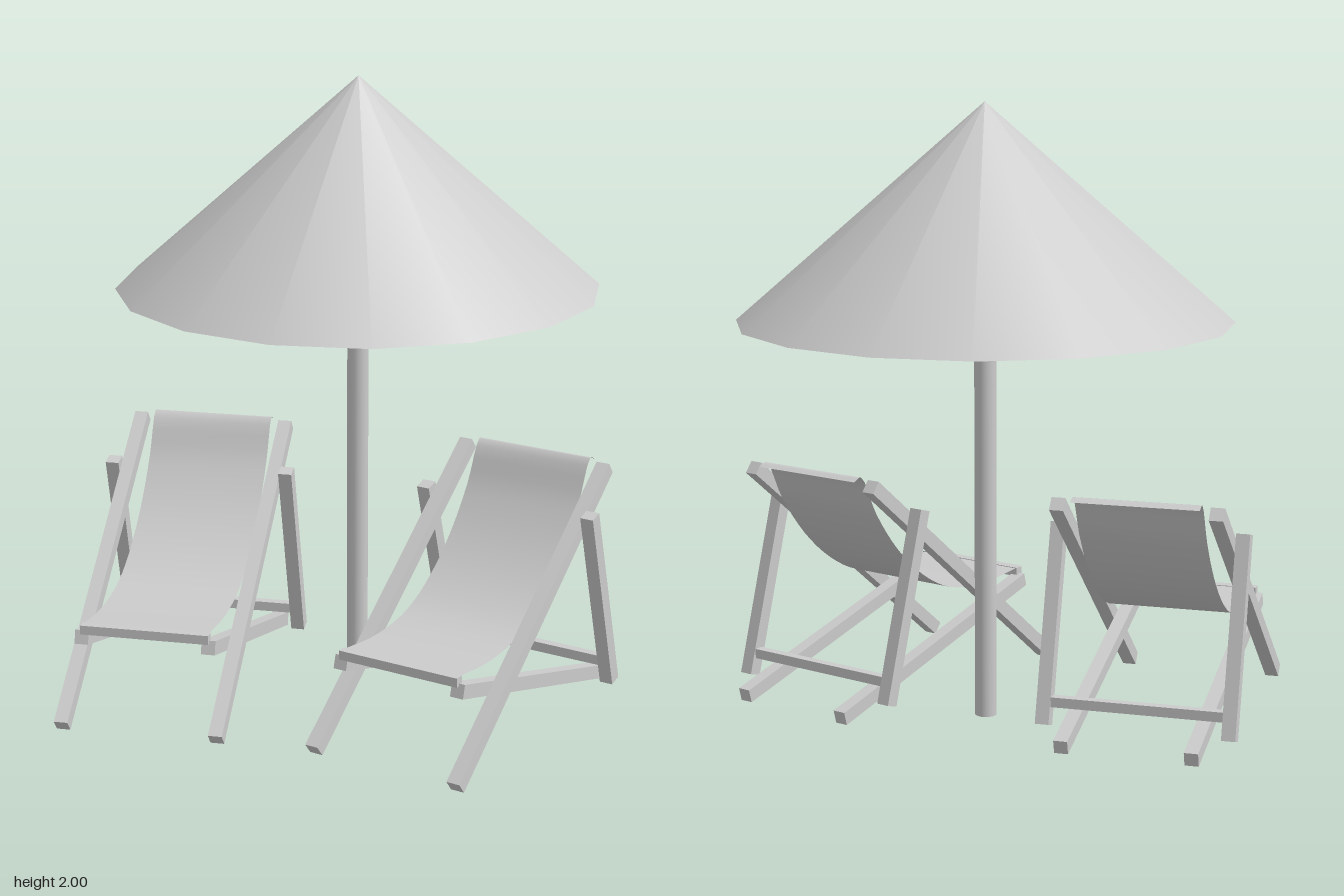
import * as THREE from 'three';

const wood = new THREE.MeshStandardMaterial({ color: 0xcccccc });
const cloth = new THREE.MeshStandardMaterial({ color: 0xcccccc, side: THREE.DoubleSide });

function add(parent, name, geometry, material = wood) {
  const mesh = new THREE.Mesh(geometry, material);
  mesh.name = name;
  parent.add(mesh);
  return mesh;
}

// Square timber in a side plane x, between two [distance back, height] ends
function beam(parent, name, x, [u1, y1], [u2, y2], size = 0.045) {
  const du = u2 - u1, dy = y2 - y1;
  const mesh = add(parent, name, new THREE.BoxGeometry(size, size, Math.hypot(du, dy)));
  mesh.position.set(x, (y1 + y2) / 2, -(u1 + u2) / 2);
  mesh.rotation.x = Math.atan2(-dy, -du);
}

// Timber running across the chair
function crossbar(parent, name, length, u, y, size) {
  add(parent, name, new THREE.BoxGeometry(length, size, size)).position.set(0, y, -u);
}

// Fabric strip following a sagging side profile
function slingGeometry(width) {
  const curve = new THREE.CatmullRomCurve3([
    [0.075, 0.333], [0.3, 0.315], [0.48, 0.34], [0.62, 0.41],
    [0.75, 0.52], [0.86, 0.66], [0.935, 0.795], [0.97, 0.785],
  ].map(([u, y]) => new THREE.Vector3(0, y, -u)));
  const geometry = new THREE.PlaneGeometry(width, 1, 1, 28);
  const pos = geometry.attributes.position;
  for (let i = 0; i < pos.count; i++) {
    const p = curve.getPoint(pos.getY(i) + 0.5);
    pos.setXYZ(i, pos.getX(i), p.y, p.z);
  }
  geometry.computeVertexNormals();
  return geometry;
}

// Chair whose origin lies between its front feet, reaching back along -z
function deckChair(name) {
  const chair = new THREE.Group();
  chair.name = name;
  for (const [side, s] of [['left', 1], ['right', -1]]) {
    beam(chair, side + 'BackRail', s * 0.253, [0, 0.018], [0.945, 0.772]);
    beam(chair, side + 'SeatRail', s * 0.208, [0.085, 0.29], [1.055, 0.023]);
    beam(chair, side + 'Prop', s * 0.3, [0.753, 0.67], [0.93, 0.052]);
  }
  crossbar(chair, 'seatBar', 0.42, 0.093, 0.317, 0.03);
  crossbar(chair, 'stretcher', 0.6, 0.91, 0.125, 0.032);
  add(chair, 'sling', slingGeometry(0.41), cloth);
  return chair;
}

export function createModel() {
  const model = new THREE.Group();
  model.name = 'beachSet';

  // Parasol
  const parasol = new THREE.Group();
  parasol.name = 'parasol';
  parasol.position.set(0.077, 0, -0.15);
  add(parasol, 'canopy', new THREE.ConeGeometry(0.79, 0.69, 16, 1, true), cloth).position.y = 1.655;
  add(parasol, 'pole', new THREE.CylinderGeometry(0.035, 0.035, 1.9, 16)).position.y = 0.97;
  model.add(parasol);

  // Two chairs turned by different amounts
  const places = [['rightChair', -0.645, 0.465, -15], ['leftChair', 0.11, 0.765, -35]];
  for (const [name, x, z, degrees] of places) {
    const chair = deckChair(name);
    chair.position.set(x, 0, z);
    chair.rotation.y = THREE.MathUtils.degToRad(degrees);
    model.add(chair);
  }
  return model;
}
